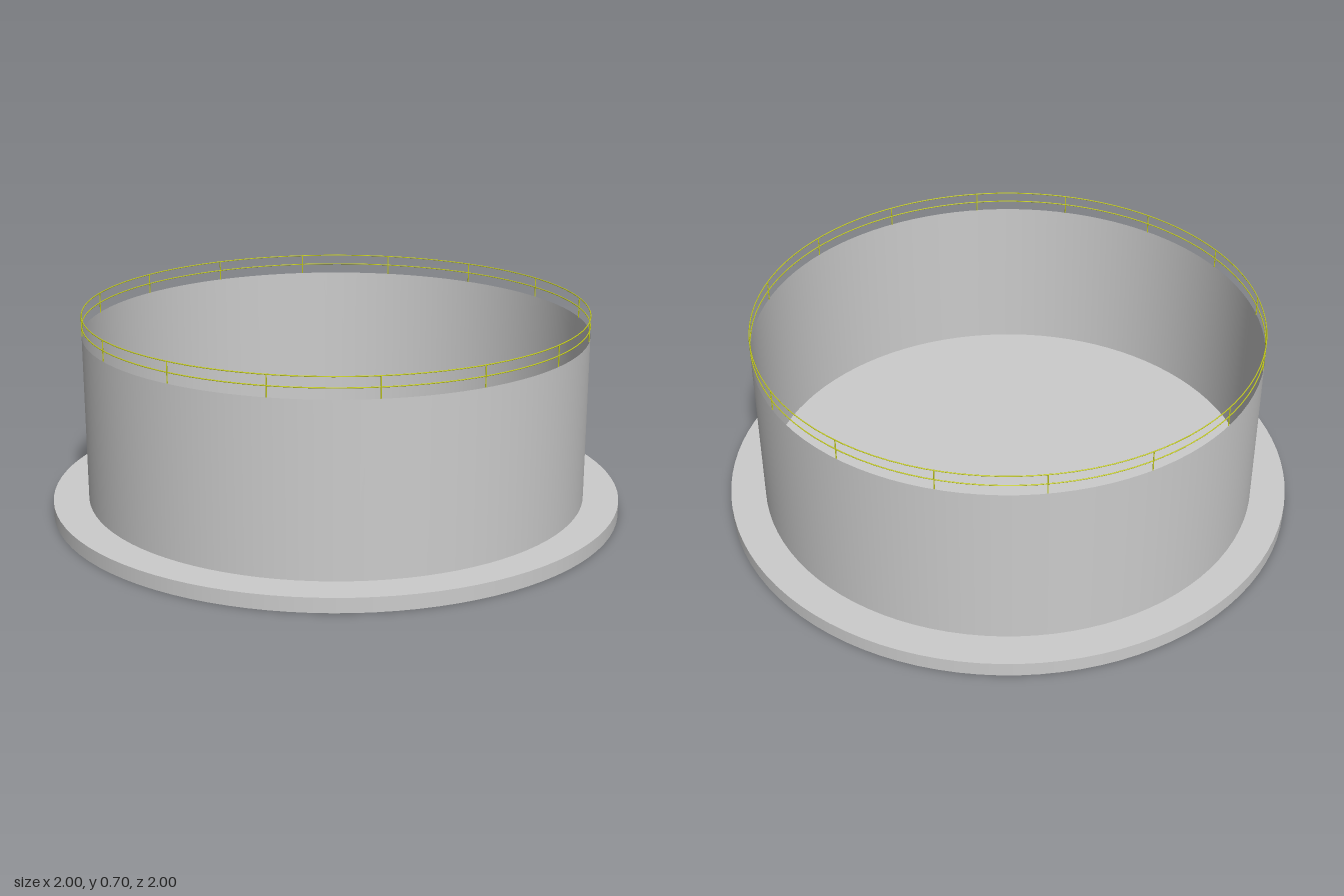
import * as THREE from 'three';

export function createModel() {
  const model = new THREE.Group();
  const grey = new THREE.MeshStandardMaterial({ color: 0xcccccc });
  const greyThin = new THREE.MeshStandardMaterial({ color: 0xcccccc, side: THREE.DoubleSide });
  const yellow = new THREE.MeshStandardMaterial({ color: 0xc8d020 });

  const SEGMENTS = 96;
  const BASE_TOP = 0.05, WALL_TOP = 0.632, RAIL_TOP = 0.705;
  const RADIUS = 0.877, RAIL_RADIUS = 0.875, BAR = 0.002;

  function add(parent, name, geometry, material, x = 0, y = 0, z = 0) {
    const mesh = new THREE.Mesh(geometry, material);
    mesh.name = name;
    mesh.position.set(x, y, z);
    parent.add(mesh);
    return mesh;
  }

  // Foundation slab, which is also the tank floor
  add(model, 'foundation', new THREE.CylinderGeometry(1, 1, BASE_TOP, SEGMENTS), grey, 0, BASE_TOP / 2);

  // Thin tank shell, open at the top
  add(model, 'tankWall',
    new THREE.CylinderGeometry(RADIUS, RADIUS, WALL_TOP - BASE_TOP, SEGMENTS, 1, true),
    greyThin, 0, (WALL_TOP + BASE_TOP) / 2);

  // Guard rail around the rim: two hoops on sixteen posts
  const railing = new THREE.Group();
  railing.name = 'railing';
  model.add(railing);

  const hoop = new THREE.TorusGeometry(RAIL_RADIUS, BAR, 6, SEGMENTS).rotateX(Math.PI / 2);
  add(railing, 'topRail', hoop, yellow, 0, RAIL_TOP - BAR);
  add(railing, 'midRail', hoop, yellow, 0, 0.668);

  const POSTS = 16;
  const postHeight = RAIL_TOP - BAR - WALL_TOP;
  const post = new THREE.CylinderGeometry(BAR, BAR, postHeight, 6);
  for (let i = 0; i < POSTS; i++) {
    const a = (i - 0.25) * Math.PI * 2 / POSTS;
    add(railing, 'railPost', post, yellow,
      Math.sin(a) * RAIL_RADIUS, WALL_TOP + postHeight / 2, Math.cos(a) * RAIL_RADIUS);
  }

  return model;
}
